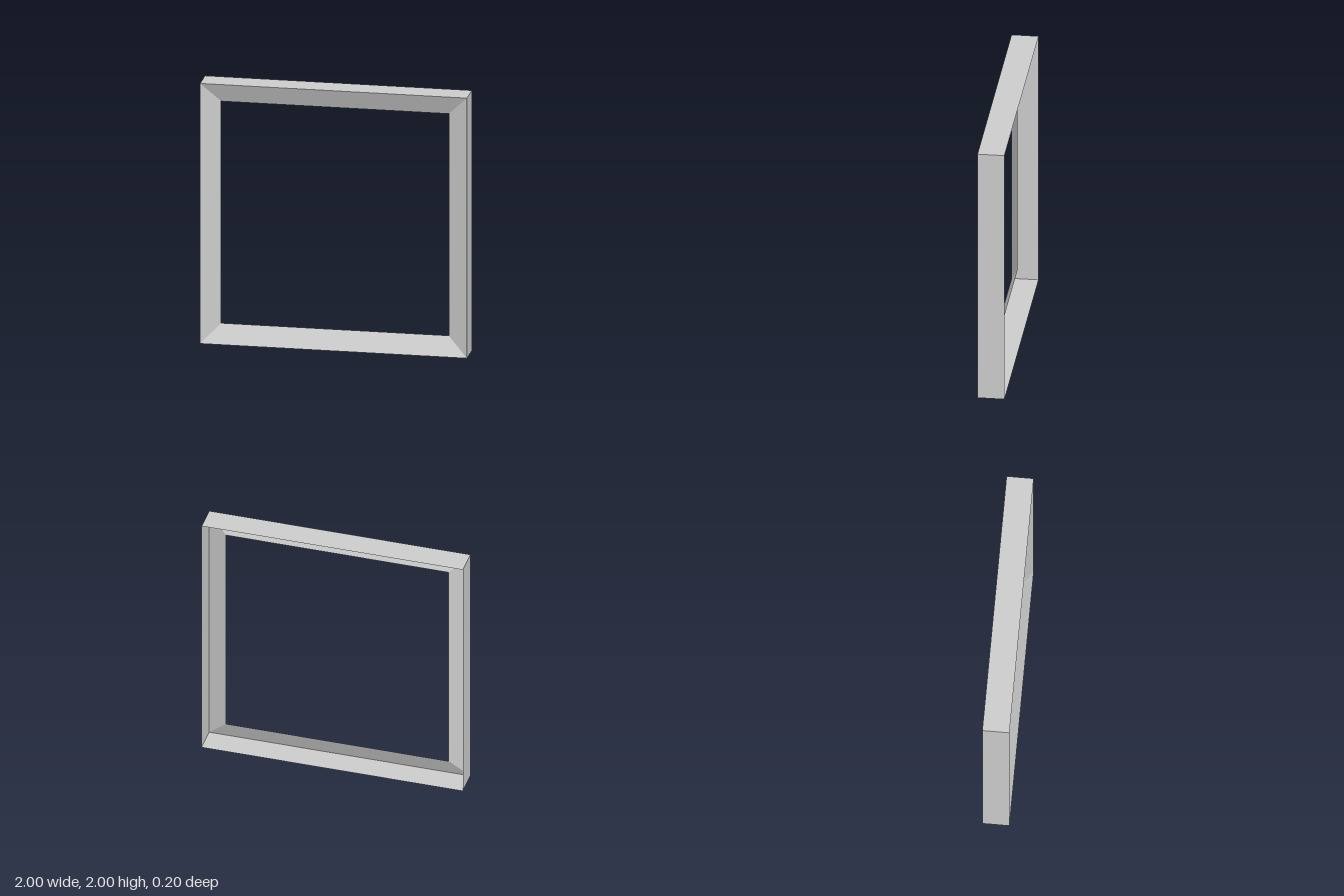
import * as THREE from 'three';

export function createModel() {
  const frame = new THREE.Group();
  frame.name = 'squareFrame';
  const material = new THREE.MeshStandardMaterial({
    color: 0xcccccc, flatShading: true, side: THREE.DoubleSide,
  });

  // Sheet cross-section as [distance from centre, z]: bevelled front lip, then outer wall; open at the back
  const section = [[0.853, 0.037], [1, 0.1], [1, -0.1]]
    .map(([half, z]) => new THREE.Vector2(half * Math.SQRT2, -z));

  // A quarter turn in one segment gives a straight rail with mitred ends
  const rail = new THREE.LatheGeometry(section, 1, -Math.PI / 4, Math.PI / 2);
  rail.rotateX(-Math.PI / 2);
  const geometry = rail.toNonIndexed();
  geometry.computeVertexNormals();

  // Four rails around the opening, anticlockwise from the top
  ['topRail', 'rightRail', 'bottomRail', 'leftRail'].forEach((name, i) => {
    const mesh = new THREE.Mesh(geometry, material);
    mesh.name = name;
    mesh.position.y = 1;
    mesh.rotation.z = i * Math.PI / 2;
    frame.add(mesh);
  });
  return frame;
}
